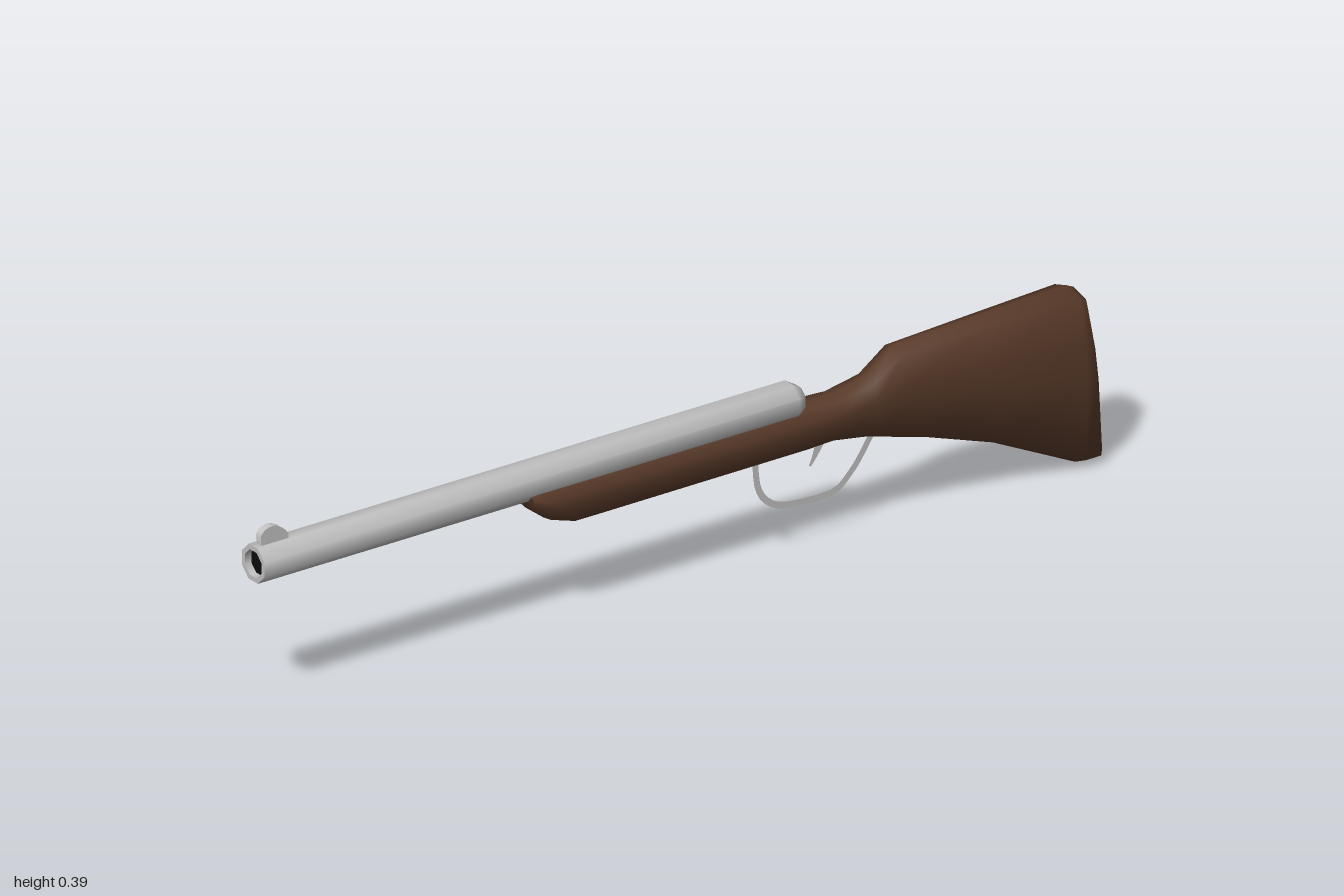
import * as THREE from 'three';
import { toCreasedNormals } from 'three/addons/utils/BufferGeometryUtils.js';

const wood = new THREE.MeshStandardMaterial({ color: 0x5a3b2a });
const metal = new THREE.MeshStandardMaterial({ color: 0xc2c2c2, side: THREE.DoubleSide });
const black = new THREE.MeshStandardMaterial({ color: 0x0c0c0c });
wood.name = 'wood';
metal.name = 'metal';
black.name = 'black';

// Closed body lofted through ten-sided rings: [zTop, zBottom, yTop, yBottom, halfWidth, topDrop, bottomRise]
function loft(sections) {
  const pos = [], idx = [], n = 10;
  for (const [zt, zb, yt, yb, w, td, br] of sections) {
    const h = yt - yb;
    const half = [[0, yt], [0.72 * w, yt - td], [w, yb + h * 0.7], [w, yb + h * 0.5], [0.68 * w, yb + br], [0, yb]];
    const ring = [...half, ...half.slice(1, 5).reverse().map(([x, y]) => [-x, y])];
    for (const [x, y] of ring) pos.push(x, y, zb + (zt - zb) * (y - yb) / h);
  }
  for (let s = 0; s < sections.length - 1; s++) {
    for (let i = 0; i < n; i++) {
      const a = s * n + i, b = s * n + (i + 1) % n;
      idx.push(a, b, a + n, b, b + n, a + n);
    }
  }
  // End caps
  const last = (sections.length - 1) * n;
  for (let i = 1; i < n - 1; i++) {
    idx.push(0, i + 1, i);
    idx.push(last, last + i, last + i + 1);
  }
  const g = new THREE.BufferGeometry();
  g.setAttribute('position', new THREE.Float32BufferAttribute(pos, 3));
  g.setIndex(idx);
  return toCreasedNormals(g, 1.2);
}

// Flat outline drawn in (z, y), turned to stand in the x = 0 plane
function sheet(shape) {
  return new THREE.ShapeGeometry(shape, 8).rotateY(-Math.PI / 2);
}

// Turned part, profile given as [radius, z]
function lathe(points, sides, turn) {
  const g = new THREE.LatheGeometry(points.map(([r, z]) => new THREE.Vector2(r, z)), sides, turn);
  g.rotateX(Math.PI / 2);
  return toCreasedNormals(g, 0.9);
}

export function createModel() {
  const model = new THREE.Group();
  const add = (name, geometry, material, y = 0) => {
    const mesh = new THREE.Mesh(geometry, material);
    mesh.name = name;
    mesh.position.y = y;
    model.add(mesh);
  };

  // Stock from fore-end through grip to butt
  add('stock', loft([
    [0.362, 0.352, 0.303, 0.262, 0.036, 0.001, 0.006],
    [0.345, 0.31, 0.305, 0.23, 0.042, 0.001, 0.006],
    [0.33, 0.25, 0.305, 0.212, 0.042, 0.001, 0.006],
    [0.2, 0.2, 0.305, 0.211, 0.04, 0.001, 0.006],
    [-0.3, -0.3, 0.305, 0.212, 0.039, 0.001, 0.006],
    [-0.38, -0.36, 0.306, 0.212, 0.038, 0.006, 0.008],
    [-0.46, -0.46, 0.325, 0.192, 0.038, 0.01, 0.012],
    [-0.52, -0.6, 0.37, 0.153, 0.041, 0.012, 0.015],
    [-0.72, -0.76, 0.377, 0.098, 0.047, 0.012, 0.017],
    [-0.935, -0.955, 0.384, 0.004, 0.056, 0.013, 0.018],
    [-0.952, -0.993, 0.376, 0.003, 0.053, 0.013, 0.018],
    [-0.96, -1.0, 0.36, 0.014, 0.043, 0.012, 0.016],
  ]), wood);

  // Eight-sided barrel with a low domed rear end and an open muzzle
  add('barrel', lathe([
    [0, -0.307], [0.014, -0.304], [0.027, -0.296], [0.04, -0.275], [0.04, 1], [0.029, 1], [0.029, 0.96],
  ], 8, Math.PI / 8), metal, 0.319);
  add('bore', new THREE.CircleGeometry(0.029, 16).translate(0, 0, 0.985), black, 0.319);

  // Front sight blade
  const sight = new THREE.Shape();
  sight.moveTo(0.922, 0.35);
  sight.lineTo(0.985, 0.35);
  sight.lineTo(0.988, 0.375);
  sight.quadraticCurveTo(0.98, 0.392, 0.957, 0.391);
  sight.quadraticCurveTo(0.932, 0.383, 0.922, 0.365);
  const blade = new THREE.ExtrudeGeometry(sight, { depth: 0.016, bevelEnabled: false, curveSegments: 8 });
  blade.translate(0, 0, -0.008).rotateY(-Math.PI / 2);
  add('frontSight', toCreasedNormals(blade, 0.7), metal);

  // Trigger guard: a thin flat band along a curve in (z, y)
  const path = new THREE.SplineCurve([
    [-0.194, 0.225], [-0.199, 0.16], [-0.222, 0.12], [-0.27, 0.099],
    [-0.375, 0.096], [-0.42, 0.126], [-0.45, 0.163], [-0.477, 0.205],
  ].map(([z, y]) => new THREE.Vector2(z, y)));
  const edge = (offset) => path.getPoints(21).map((p, i) => {
    const t = path.getTangent(i / 21);
    return new THREE.Vector2(p.x - t.y * offset, p.y + t.x * offset);
  });
  add('triggerGuard', sheet(new THREE.Shape([...edge(0.007), ...edge(-0.007).reverse()])), metal);

  // Trigger
  const trigger = new THREE.Shape();
  trigger.moveTo(-0.368, 0.225);
  trigger.quadraticCurveTo(-0.35, 0.19, -0.326, 0.164);
  trigger.lineTo(-0.322, 0.168);
  trigger.quadraticCurveTo(-0.335, 0.195, -0.34, 0.225);
  add('trigger', sheet(trigger), metal);

  return model;
}
